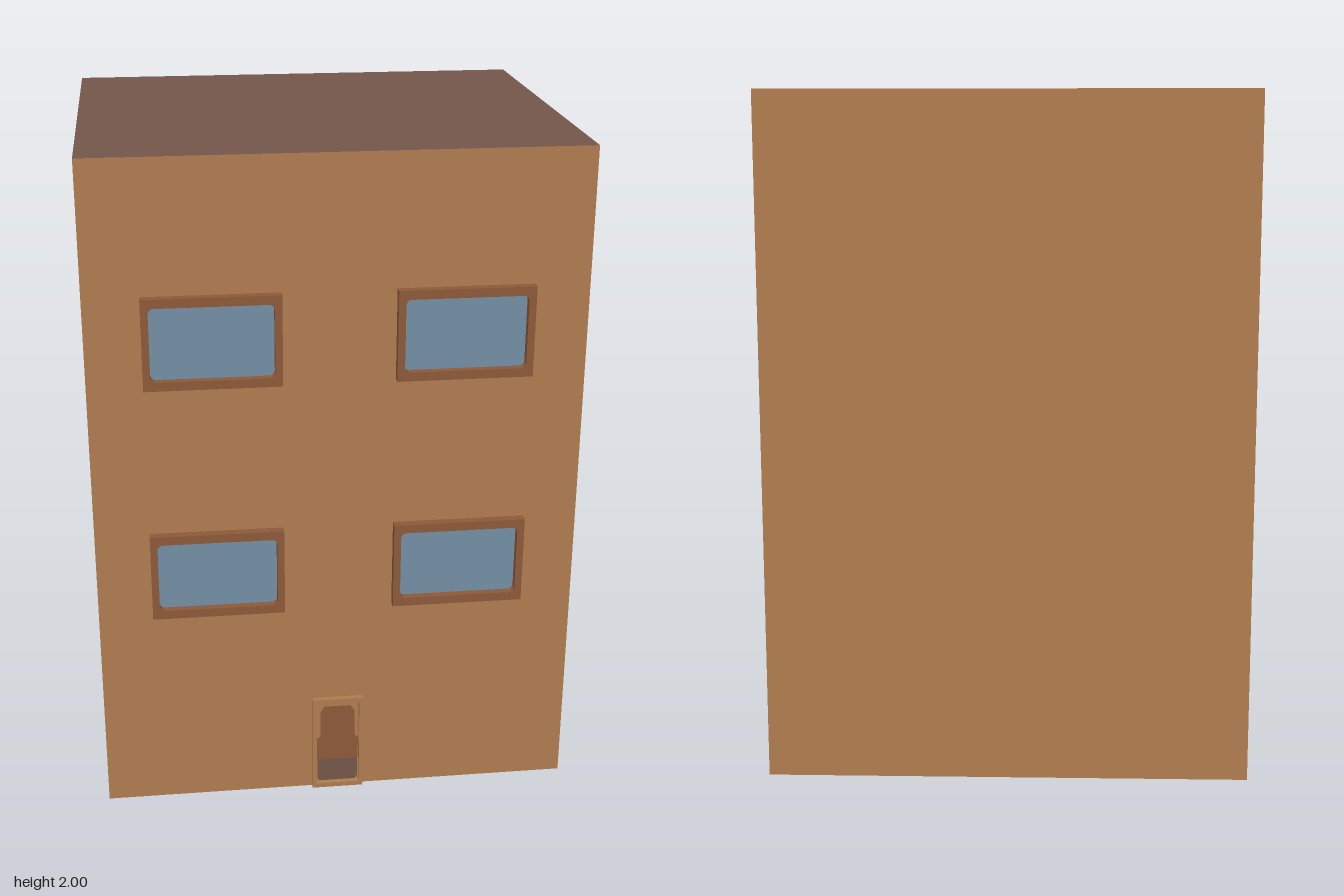
import * as THREE from 'three';

const material = (name, color) => {
  const m = new THREE.MeshStandardMaterial({ color });
  m.name = name;
  return m;
};

// Closed shape from corner points
const polygon = (points) => new THREE.Shape(points.map(([x, y]) => new THREE.Vector2(x, y)));

const rectangle = (x0, x1, y0, y1) => polygon([[x0, y0], [x1, y0], [x1, y1], [x0, y1]]);

// Rectangle centred on the origin with rounded corners
function roundedRectangle(w, h, r) {
  const s = new THREE.Shape();
  const x = w / 2, y = h / 2;
  s.absarc(x - r, y - r, r, 0, Math.PI / 2);
  s.absarc(-x + r, y - r, r, Math.PI / 2, Math.PI);
  s.absarc(-x + r, -y + r, r, Math.PI, Math.PI * 1.5);
  s.absarc(x - r, -y + r, r, Math.PI * 1.5, Math.PI * 2);
  s.closePath();
  return s;
}

export function createModel() {
  const model = new THREE.Group();
  model.name = 'building';
  const wall = material('wall tan', 0xb17d4f);
  const roof = material('roof brown', 0x76574b);
  const wood = material('frame brown', 0x8e5a3a);
  const glass = material('glass blue', 0x748fa6);
  const FRONT = 0.578, BACK = -0.605;

  const add = (parent, name, geometry, mat, x = 0, y = 0, z = 0) => {
    const mesh = new THREE.Mesh(geometry, mat);
    mesh.name = name;
    mesh.position.set(x, y, z);
    parent.add(mesh);
    return mesh;
  };
  const extrude = (shape, depth) =>
    new THREE.ExtrudeGeometry(shape, { depth, bevelEnabled: false, curveSegments: 5 });

  // Main block, with the roof colour on its top face
  add(model, 'walls and roof', new THREE.BoxGeometry(1.414, 2, FRONT - BACK),
    [wall, wall, roof, wall, wall, wall], 0, 1, (FRONT + BACK) / 2);

  // Four windows: a deep frame around a pane lying near the wall
  const frameShape = rectangle(-0.194, 0.194, -0.133, 0.133);
  frameShape.holes.push(roundedRectangle(0.346, 0.214, 0.016));
  const frameGeometry = extrude(frameShape, 0.605 - FRONT);
  const paneGeometry = new THREE.PlaneGeometry(0.36, 0.23);
  for (const y of [0.767, 1.482]) {
    for (const x of [-0.355, 0.355]) {
      const windowGroup = new THREE.Group();
      windowGroup.name = 'window';
      windowGroup.position.set(x, y, FRONT);
      add(windowGroup, 'windowFrame', frameGeometry, wood);
      add(windowGroup, 'windowPane', paneGeometry, glass, 0, 0, 0.004);
      model.add(windowGroup);
    }
  }

  // Door: raised surround, brown leaf with a shaped top, darker kick panel
  const door = new THREE.Group();
  door.name = 'door';
  door.position.z = FRONT;
  const surround = rectangle(-0.078, 0.078, 0, 0.316);
  surround.holes.push(rectangle(-0.066, 0.066, 0.015, 0.3));
  add(door, 'doorSurround', extrude(surround, 0.015), wall);
  const leaf = polygon([
    [-0.064, 0.095], [0.064, 0.095], [0.064, 0.17], [0.053, 0.178], [0.053, 0.265],
    [0.04, 0.285], [-0.04, 0.285], [-0.053, 0.265], [-0.053, 0.178], [-0.064, 0.17],
  ]);
  add(door, 'doorLeaf', new THREE.ShapeGeometry(leaf), wood, 0, 0, 0.004);
  const kick = polygon([
    [-0.055, 0.018], [0.055, 0.018], [0.062, 0.03], [0.062, 0.095], [-0.062, 0.095], [-0.062, 0.03],
  ]);
  add(door, 'doorKickPanel', new THREE.ShapeGeometry(kick), roof, 0, 0, 0.004);
  model.add(door);

  return model;
}
